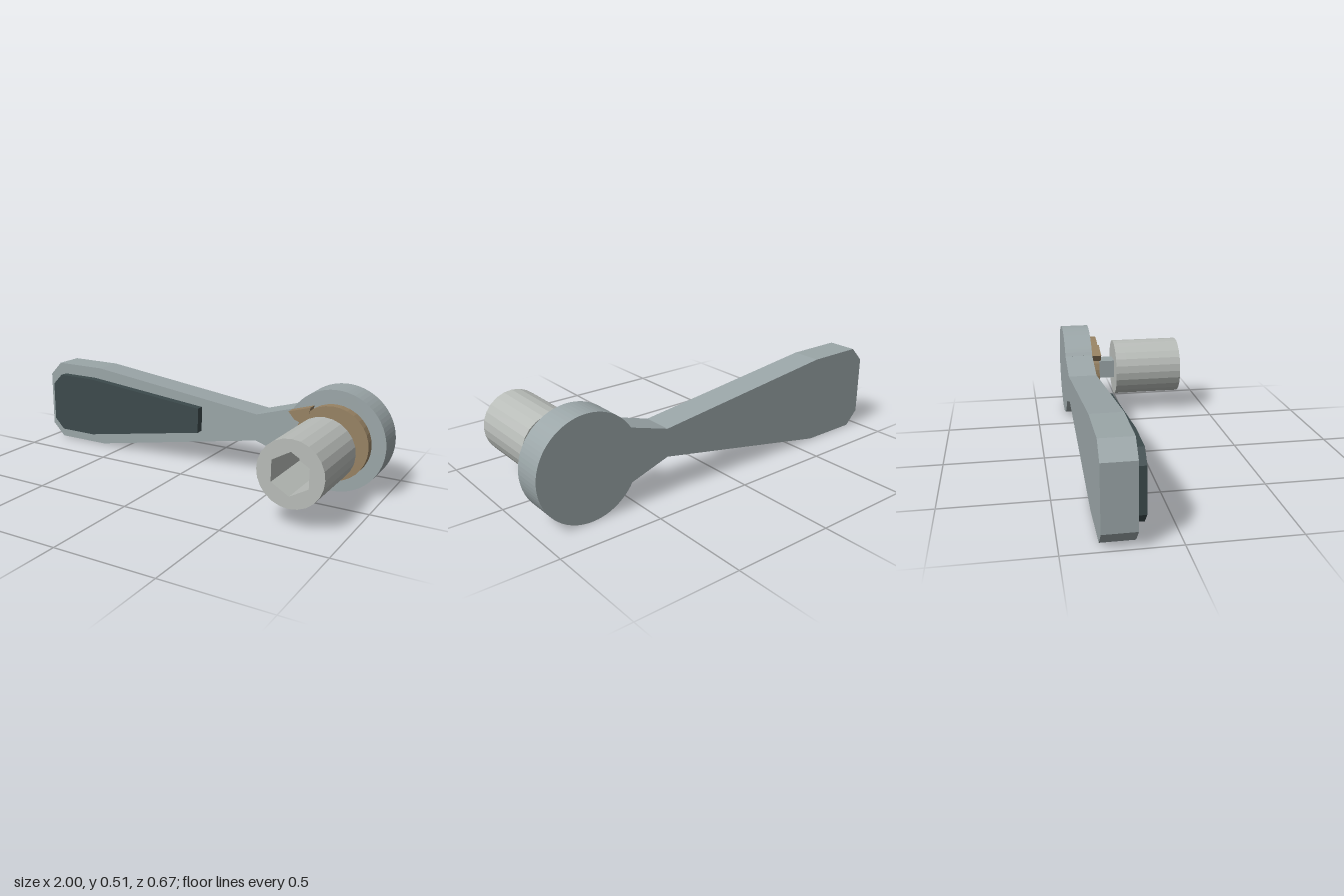
import * as THREE from 'three';

const CX = 0.747, CY = 0.253; // axis of the round head

const material = (color) => new THREE.MeshStandardMaterial({ color, flatShading: true });
const points = (list) => list.map(([x, y]) => new THREE.Vector2(x, y));

// Regular outline about the head axis
function ring(radius, sides, start = 0) {
  return Array.from({ length: sides }, (_, i) => {
    const a = start + (i / sides) * Math.PI * 2;
    return new THREE.Vector2(CX + Math.cos(a) * radius, CY + Math.sin(a) * radius);
  });
}

// Extrude a shape between two z planes
function slab(name, shape, z0, z1, mat, curveSegments = 32) {
  const geometry = new THREE.ExtrudeGeometry(shape, { depth: z1 - z0, bevelEnabled: false, curveSegments });
  geometry.translate(0, 0, z0);
  const mesh = new THREE.Mesh(geometry, mat);
  mesh.name = name;
  return mesh;
}

export function createModel() {
  const model = new THREE.Group();
  model.name = 'ratchetWrench';
  const steel = material(0x9ba6a8);
  const socketSteel = material(0xb8bcb8);
  const brass = material(0x978263);
  const dark = material(0x3c4a4c);

  // Handle and round head in one outline
  const body = new THREE.Shape(points([
    [0.532, 0.385], [0.334, 0.325], [-0.644, 0.447], [-0.93, 0.447], [-1, 0.374],
    [-1, 0.075], [-0.93, 0.004], [-0.634, 0.004], [0.334, 0.187], [0.532, 0.121],
  ]));
  body.absarc(CX, CY, 0.253, Math.PI + 0.55, Math.PI * 3 - 0.55, false);
  model.add(slab('handleAndHead', body, -0.337, -0.187, steel));

  // Raised grip pad
  const pad = new THREE.Shape(points([
    [-0.95, 0.33], [-0.893, 0.388], [-0.68, 0.388], [0.017, 0.318],
    [0.017, 0.187], [-0.68, 0.063], [-0.893, 0.063], [-0.95, 0.12],
  ]));
  model.add(slab('gripPad', pad, -0.187, -0.145, dark));

  // Selector dial with its thumb lever
  model.add(slab('selectorDial', new THREE.Shape(ring(0.184, 32)), -0.187, -0.142, brass));
  const lever = new THREE.Shape(points([
    [0.527, 0.382], [0.64, 0.417], [0.632, 0.385], [0.59, 0.335], [0.56, 0.345],
  ]));
  model.add(slab('selectorLever', lever, -0.187, -0.136, brass));

  // Square drive running into the socket
  model.add(slab('squareDrive', new THREE.Shape(ring(0.0714, 4, Math.PI / 4)), -0.142, 0.03, steel));

  // Socket: solid base, then a barrel with a hexagonal opening
  const outline = () => new THREE.Shape(ring(0.158, 24));
  model.add(slab('socketBase', outline(), -0.04, 0.02, socketSteel));
  const barrel = outline();
  barrel.holes.push(new THREE.Path(ring(0.101, 6, Math.PI / 2)));
  model.add(slab('socketBarrel', barrel, 0.02, 0.337, socketSteel));

  return model;
}
